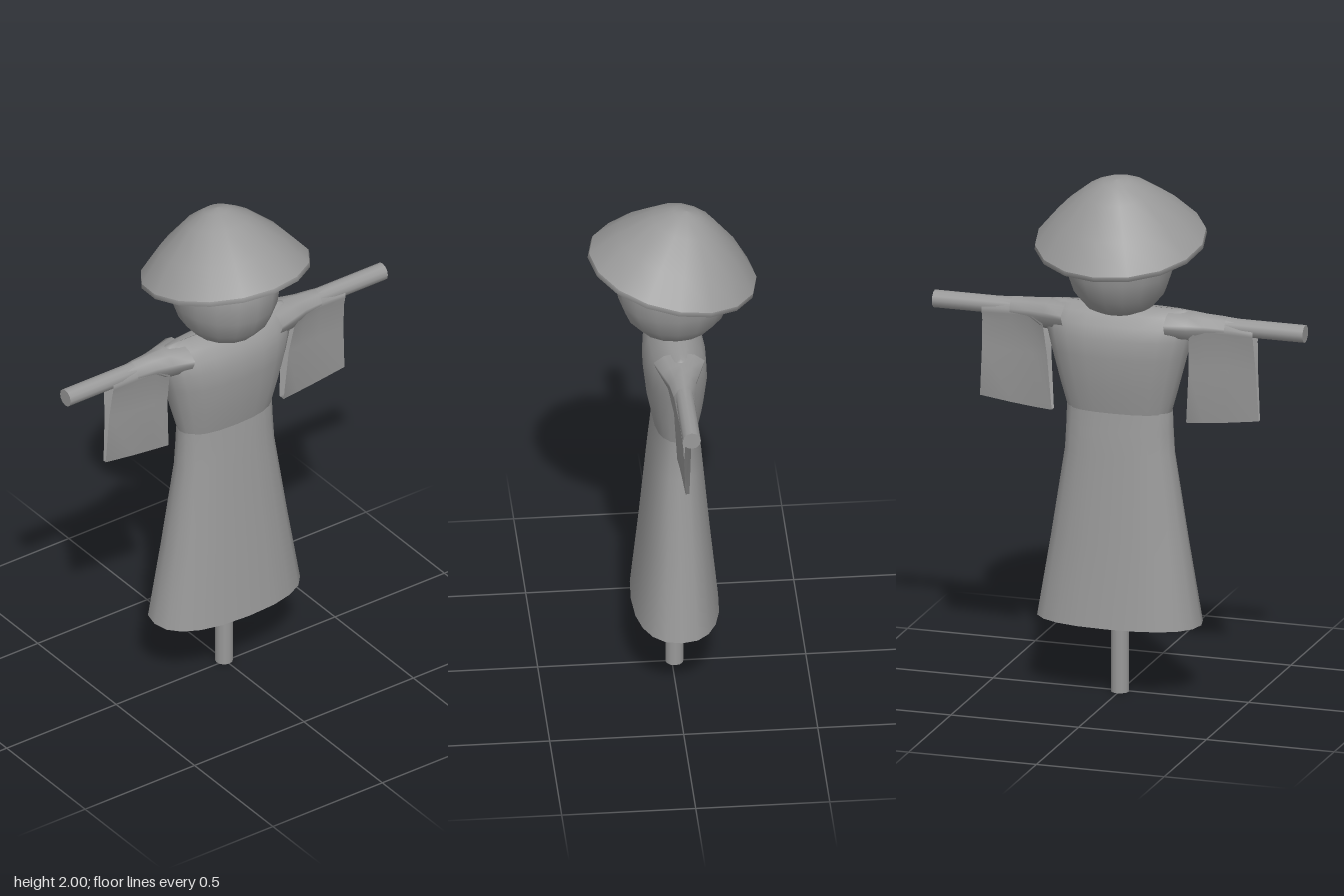
import * as THREE from 'three';

// Skin a list of closed rings (arrays of [x, y, z]) with smooth normals
function loft(rings) {
  const n = rings[0].length, index = [];
  for (let r = 0; r < rings.length - 1; r++) {
    for (let i = 0; i < n; i++) {
      const a = r * n + i, b = r * n + (i + 1) % n;
      index.push(a, a + n, b, b, a + n, b + n);
    }
  }
  const g = new THREE.BufferGeometry();
  g.setAttribute('position', new THREE.Float32BufferAttribute(rings.flat(2), 3));
  g.setIndex(index);
  g.computeVertexNormals();
  return g;
}

// Horizontal rounded ring: half width w, half depth d at height y
function ring(y, w, d, sides = 20) {
  return Array.from({ length: sides }, (_, i) => {
    const a = i / sides * Math.PI * 2, c = Math.cos(a), s = Math.sin(a);
    return [w * Math.sign(c) * Math.abs(c) ** 0.85, y, d * Math.sign(s) * Math.abs(s) ** 0.85];
  });
}

// Upright sleeve section: tube around the arm narrowing to a thin hanging flap
function sleeveRing(x, top, depth, armpit, hem, flare) {
  const half = [
    [top, 0], [top - 0.012, 0.6], [top - 0.04, 1], [(top + armpit) / 2 - 0.012, 0.95],
    [armpit, 0.75], [armpit * 0.65 + hem * 0.35, 0.4], [hem, 0.2],
  ];
  const point = (s) => ([y, z]) => {
    const drop = Math.max(0, (1.4 - y) / 0.33);
    return [x + flare * drop, y, s * z * depth];
  };
  return [...half.map(point(-1)), ...half.slice(1).reverse().map(point(1))];
}

export function createModel() {
  const model = new THREE.Group();
  const grey = new THREE.MeshStandardMaterial({ color: 0x999999, side: THREE.DoubleSide });
  grey.name = 'plain grey';
  const figure = new THREE.Group();
  figure.name = 'figure';
  figure.position.z = -0.01;
  model.add(figure);

  const add = (name, geometry, parent = figure) => {
    const mesh = new THREE.Mesh(geometry, grey);
    mesh.name = name;
    parent.add(mesh);
    return mesh;
  };

  // Wooden cross
  add('pole', new THREE.CylinderGeometry(0.034, 0.034, 1.49, 12)).position.y = 0.745;
  const bar = add('crossbar', new THREE.CylinderGeometry(0.034, 0.034, 1.45, 12));
  bar.rotation.z = Math.PI / 2;
  bar.position.y = 1.455;

  // Open skirt and bodice, meeting at a waist crease
  add('skirt', loft([
    ring(0.285, 0.318, 0.163), ring(0.6, 0.265, 0.131),
    ring(0.94, 0.212, 0.1), ring(1.03, 0.208, 0.09), ring(1.105, 0.206, 0.082),
  ]));
  add('bodice', loft([
    ring(1.1, 0.202, 0.084), ring(1.2, 0.23, 0.104), ring(1.32, 0.262, 0.118),
    ring(1.39, 0.28, 0.114), ring(1.44, 0.288, 0.097), ring(1.48, 0.285, 0.066),
    ring(1.502, 0.27, 0.034), ring(1.505, 0.25, 0.001),
  ]));

  // Shoulders and hanging sleeves, the second turned half round
  for (const [name, turn] of [['leftSleeve', 0], ['rightSleeve', Math.PI]]) {
    const sleeve = new THREE.Group();
    sleeve.name = name;
    sleeve.rotation.y = turn;
    figure.add(sleeve);
    add('shoulder', loft([
      sleeveRing(0.2, 1.503, 0.095, 1.41, 1.38, 0),
      sleeveRing(0.28, 1.502, 0.07, 1.405, 1.385, 0),
      sleeveRing(0.34, 1.498, 0.05, 1.41, 1.39, 0),
      sleeveRing(0.42, 1.494, 0.04, 1.415, 1.395, 0),
    ]), sleeve);
    add('sleeveCloth', loft([
      sleeveRing(0.285, 1.5, 0.066, 1.4, 1.07, -0.022),
      sleeveRing(0.34, 1.497, 0.048, 1.4, 1.074, -0.012),
      sleeveRing(0.42, 1.493, 0.039, 1.4, 1.083, -0.001),
      sleeveRing(0.53, 1.486, 0.036, 1.4, 1.1, 0.017),
    ]), sleeve);
  }

  // Round head with a flattened chin
  const headProfile = [
    [0, 1.477], [0.08, 1.482], [0.125, 1.503], [0.17, 1.557], [0.195, 1.63], [0.204, 1.7],
    [0.2, 1.77], [0.16, 1.84], [0.09, 1.88], [0, 1.89],
  ].map(([r, y]) => new THREE.Vector2(r, y));
  add('head', new THREE.LatheGeometry(headProfile, 16)).scale.z = 1.08;

  // Hollow conical hat, tipped back
  const hat = new THREE.Group();
  hat.name = 'hat';
  hat.position.set(0, 1.745, 0.01);
  hat.rotation.x = -0.22;
  figure.add(hat);
  const v = (r, y) => new THREE.Vector2(r, y);
  const crown = [v(0.32, 0.018), v(0.235, 0.118), v(0.125, 0.213), v(0.05, 0.253), v(0, 0.26)];
  const lining = [v(0, 0.235), v(0.05, 0.228), v(0.12, 0.19), v(0.22, 0.1), v(0.3, 0.012)];
  add('hatCrown', new THREE.LatheGeometry(crown, 16), hat);
  add('hatLining', new THREE.LatheGeometry(lining, 16), hat);
  add('hatRim', new THREE.LatheGeometry([v(0.3, 0.012), v(0.31, -0.005), v(0.322, 0), v(0.32, 0.018)], 16), hat);

  return model;
}
